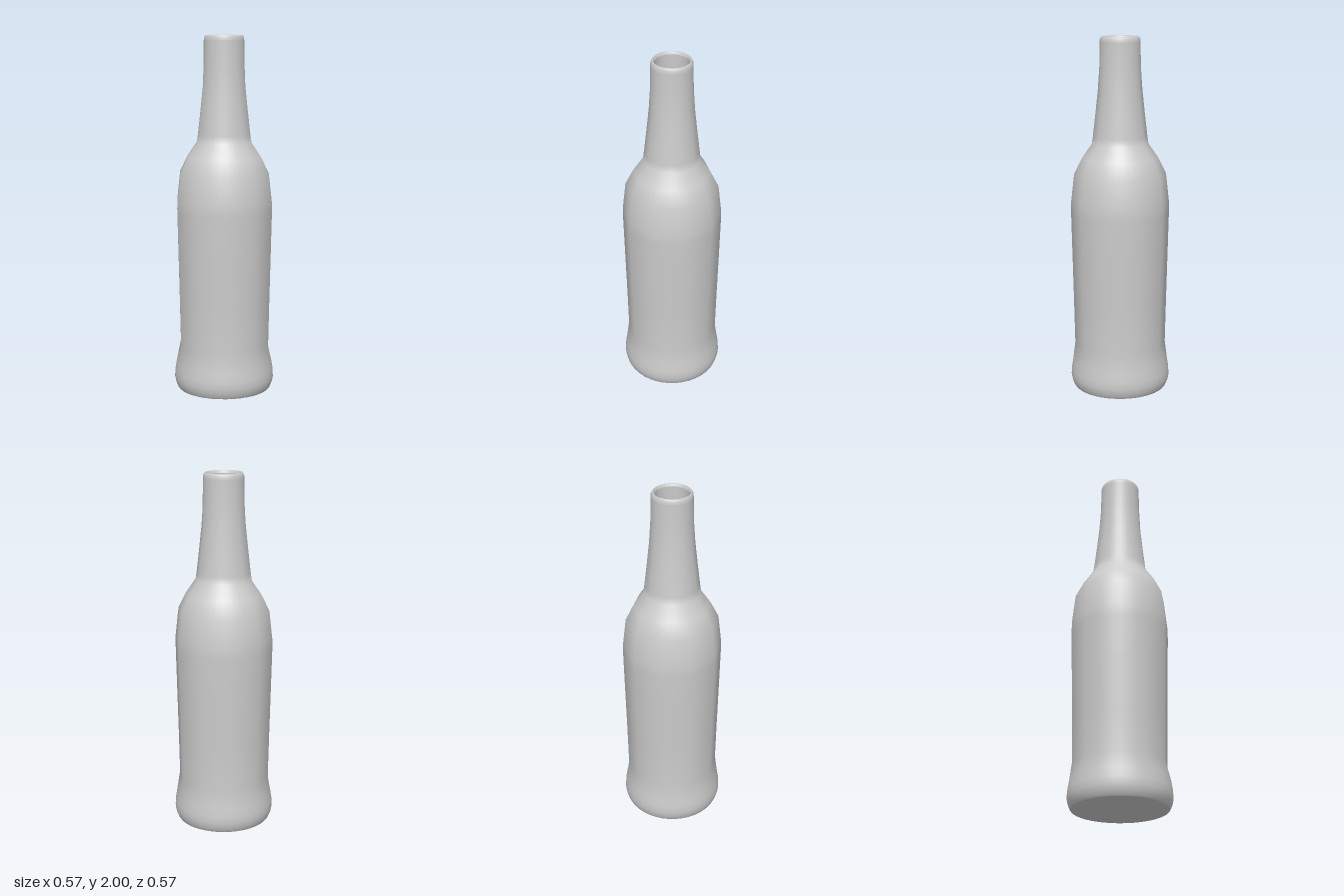
import * as THREE from 'three';

const material = new THREE.MeshStandardMaterial({ color: 0xcccccc });
const toPoints = (profile) => profile.map(([r, y]) => new THREE.Vector2(r, y));

function lathe(name, profile, segments) {
  const mesh = new THREE.Mesh(new THREE.LatheGeometry(toPoints(profile), segments), material);
  mesh.name = name;
  return mesh;
}

// Pull a round ring in to a ten-sided one with a corner on +x; smooth normals are kept
function makeTenSided(geometry, yMin, yMax) {
  const pos = geometry.attributes.position;
  const side = Math.PI / 5;
  for (let i = 0; i < pos.count; i++) {
    const x = pos.getX(i), y = pos.getY(i), z = pos.getZ(i);
    if (y < yMin || y > yMax) continue;
    const angle = Math.atan2(z, x) + 2 * Math.PI;
    const k = Math.cos(side / 2) / Math.cos((angle % side) - side / 2);
    pos.setXYZ(i, x * k, y, z * k);
  }
}

export function createModel() {
  const bottle = new THREE.Group();
  bottle.name = 'bottle';

  // Outer wall: flared foot, waist, shoulder and neck
  const body = lathe('body', [
    [0.262, 0], [0.268, 0.008], [0.277, 0.03], [0.283, 0.06], [0.281, 0.1],
    [0.273, 0.15], [0.26, 0.25], [0.265, 0.5], [0.272, 0.8], [0.277, 1.02],
    [0.276, 1.08], [0.258, 1.24], [0.213, 1.33], [0.158, 1.41], [0.152, 1.45],
    [0.137, 1.58], [0.123, 1.71], [0.114, 1.84], [0.112, 1.97],
  ], 40);
  makeTenSided(body.geometry, 0.2, 1.75);

  // Rounded lip around the mouth
  const rim = lathe('rim', [
    [0.112, 1.97], [0.111, 1.985], [0.106, 1.996], [0.102, 2], [0.097, 1.997], [0.093, 1.985],
  ], 40);

  // Inner wall and floor, seen through the mouth
  const interior = lathe('interior', [
    [0.093, 1.985], [0.096, 1.84], [0.108, 1.7], [0.135, 1.43], [0.19, 1.32],
    [0.235, 1.22], [0.25, 1.05], [0.235, 0.25], [0.245, 0.02],
  ], 20);
  const floor = lathe('floor', [[0.245, 0.02], [0, 0.02]], 20);

  // Flat underside
  const base = lathe('base', [[0, 0], [0.262, 0]], 40);

  bottle.add(body, rim, interior, floor, base);
  return bottle;
}
